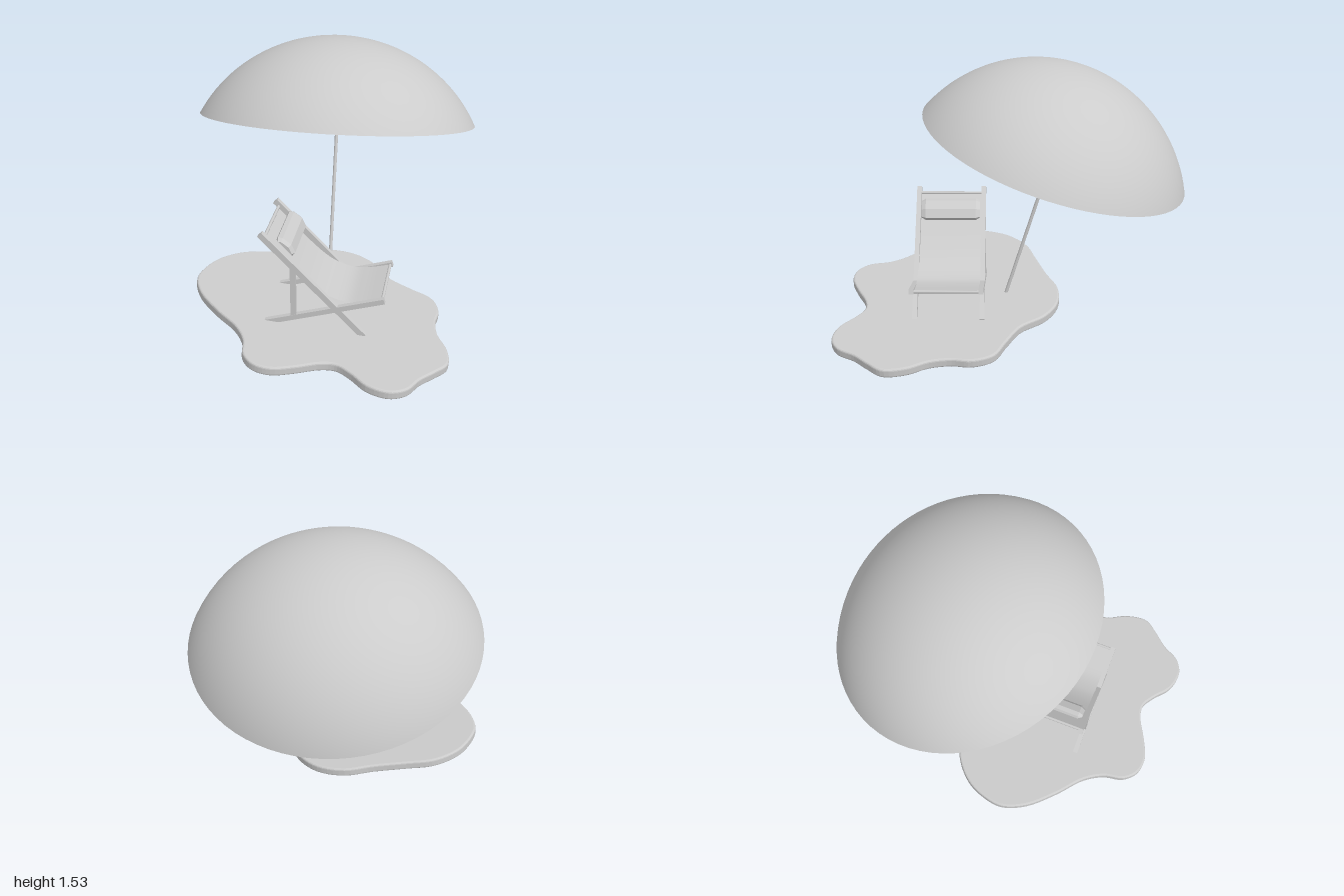
import * as THREE from 'three';

const material = new THREE.MeshStandardMaterial({ color: 0xcccccc });
const thinMaterial = new THREE.MeshStandardMaterial({ color: 0xcccccc, side: THREE.DoubleSide });

function add(parent, name, geometry, mat = material) {
  const mesh = new THREE.Mesh(geometry, mat);
  mesh.name = name;
  parent.add(mesh);
  return mesh;
}

// Square-section beam between two points of the chair's side plane
function beam(parent, name, [x1, y1], [x2, y2], z, thickness, width) {
  const mesh = add(parent, name, new THREE.BoxGeometry(Math.hypot(x2 - x1, y2 - y1), thickness, width));
  mesh.position.set((x1 + x2) / 2, (y1 + y2) / 2, z);
  mesh.rotation.z = Math.atan2(y2 - y1, x2 - x1);
  return mesh;
}

// Wavy sand patch, gently tilted to one side
function createSand() {
  const outline = [
    [-0.76, 0.24], [-0.70, 0.38], [-0.56, 0.53], [-0.42, 0.65], [-0.35, 0.76], [-0.32, 0.88],
    [-0.25, 0.95], [-0.15, 0.965], [-0.03, 0.92], [0.10, 0.855], [0.18, 0.845], [0.26, 0.89],
    [0.36, 0.97], [0.48, 0.995], [0.57, 0.95], [0.63, 0.85], [0.70, 0.77], [0.765, 0.68],
    [0.75, 0.55], [0.69, 0.43], [0.67, 0.31], [0.68, 0.20], [0.63, 0.08], [0.50, 0.01],
    [0.36, -0.07], [0.25, -0.21], [0.11, -0.29], [-0.06, -0.295], [-0.22, -0.23],
    [-0.40, -0.17], [-0.57, -0.11], [-0.69, 0.00], [-0.745, 0.12],
  ].map(([x, z]) => new THREE.Vector3(x, z, 0));
  const curve = new THREE.CatmullRomCurve3(outline, true);
  const shape = new THREE.Shape(curve.getPoints(160).slice(0, -1).map((p) => new THREE.Vector2(p.x, p.y)));
  const bevel = 0.012, thickness = 0.054;
  const geometry = new THREE.ExtrudeGeometry(shape, {
    depth: thickness - 2 * bevel, bevelThickness: bevel, bevelSize: bevel, bevelOffset: -bevel, bevelSegments: 3,
  });
  geometry.translate(0, 0, bevel).rotateX(Math.PI / 2);
  const group = new THREE.Group();
  group.name = 'sandPatch';
  add(group, 'sand', geometry);
  group.position.y = 0.112;
  group.rotation.z = -0.072;
  return group;
}

// Spherical-cap canopy on a leaning pole
function createParasol() {
  const group = new THREE.Group();
  group.name = 'parasol';
  const lean = -0.292, radius = 0.86;
  const canopy = add(group, 'canopy', new THREE.SphereGeometry(radius, 72, 24, 0, Math.PI * 2, 0, 1.117), thinMaterial);
  canopy.scale.x = 1.04;
  canopy.position.set(0, 0.678, -0.15);
  canopy.rotation.x = lean;

  const length = 1.44;
  const pole = add(group, 'pole', new THREE.CylinderGeometry(0.01, 0.01, length, 16).translate(0, length / 2, 0));
  pole.position.set(0, 0.11, 0.018);
  pole.rotation.x = lean;
  return group;
}

// Folding deck chair facing +x
function createChair() {
  const group = new THREE.Group();
  group.name = 'deckChair';
  const middle = 0.35, spread = 0.195, width = 0.028;

  for (const side of [-1, 1]) {
    const z = middle + side * spread;
    beam(group, 'backRail', [-0.287, 0.678], [0.285, 0.085], z, 0.034, width);
    beam(group, 'seatRail', [-0.395, 0.078], [0.395, 0.328], z, 0.03, width);
    beam(group, 'backStrut', [-0.11, 0.17], [-0.11, 0.49], z, 0.03, width - 0.002);
  }

  // Cross bars that carry the fabric
  for (const [name, x, y] of [['topBar', -0.268, 0.648], ['frontBar', 0.382, 0.322]]) {
    const bar = add(group, name, new THREE.CylinderGeometry(0.009, 0.009, spread * 2, 12));
    bar.position.set(x, y, middle);
    bar.rotation.x = Math.PI / 2;
  }

  // Sagging fabric sling
  const sag = new THREE.CatmullRomCurve3([
    [-0.275, 0.645], [-0.18, 0.545], [-0.08, 0.44], [0.01, 0.36], [0.08, 0.318],
    [0.18, 0.29], [0.27, 0.3], [0.385, 0.328],
  ].map(([x, y]) => new THREE.Vector3(x, y, 0)));
  const sling = new THREE.PlaneGeometry(1, 1, 1, 40);
  const { position, uv } = sling.attributes;
  for (let i = 0; i < position.count; i++) {
    const p = sag.getPoint(1 - uv.getY(i));
    position.setXYZ(i, p.x, p.y, middle + (0.5 - uv.getX(i)) * 0.366);
  }
  sling.computeVertexNormals();
  add(group, 'fabricSling', sling, thinMaterial);

  // Faceted head cushion
  const profile = new THREE.Shape([
    [-0.207, 0.625], [-0.198, 0.64], [-0.172, 0.638], [-0.125, 0.603], [-0.103, 0.555], [-0.12, 0.533],
  ].reverse().map(([x, y]) => new THREE.Vector2(x, y)));
  const cushion = new THREE.ExtrudeGeometry(profile, {
    depth: 0.3, bevelThickness: 0.025, bevelSize: 0.012, bevelOffset: -0.012, bevelSegments: 1,
  });
  add(group, 'headCushion', cushion.translate(0, 0, middle - 0.15));
  return group;
}

export function createModel() {
  const model = new THREE.Group();
  model.name = 'beachScene';
  model.add(createSand(), createParasol(), createChair());
  return model;
}
